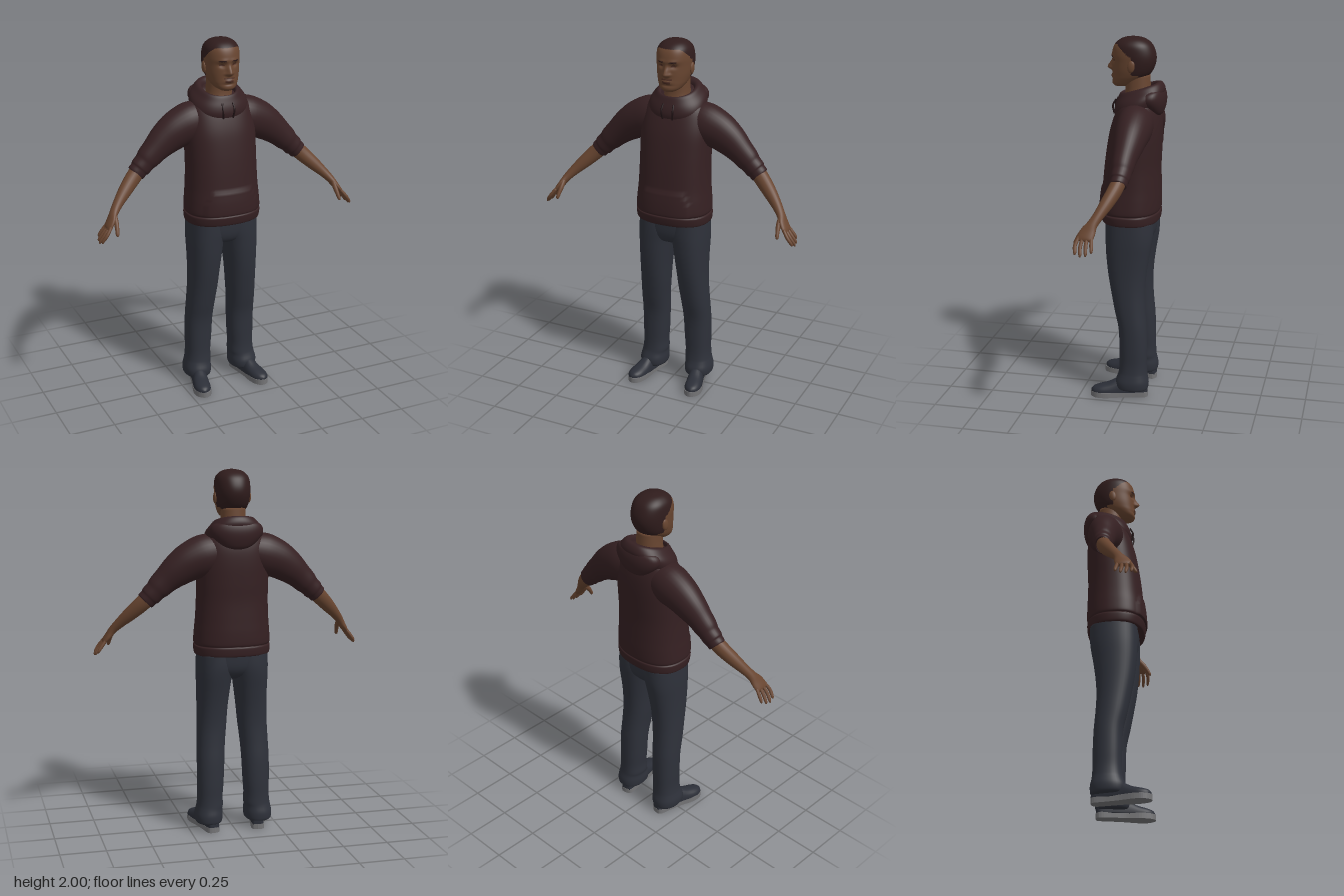
import * as THREE from 'three';

const mat = (name, color, side = THREE.FrontSide) => {
  const m = new THREE.MeshStandardMaterial({ color, side });
  m.name = name;
  return m;
};
const M = {
  hoodie: mat('hoodie maroon', 0x352022, THREE.DoubleSide),
  cord: mat('cord dark', 0x1f1214),
  hair: mat('hair', 0x2f1c1c),
  skin: mat('skin', 0x684530),
  lips: mat('lips', 0x4b2c22),
  pants: mat('trousers', 0x2e313a),
  shoe: mat('shoe', 0x2b2e37),
  sole: mat('sole', 0x747476),
};

// Smoothly resample rows of numbers
function resample(rows, k) {
  const out = [];
  for (let i = 0; i < rows.length - 1; i++) {
    for (let s = 0; s < k; s++) {
      const t = s / k, a = rows[Math.max(i - 1, 0)], b = rows[i], c = rows[i + 1], d = rows[Math.min(i + 2, rows.length - 1)];
      out.push(b.map((_, j) => b[j] + 0.5 * t * (c[j] - a[j]
        + t * (2 * a[j] - 5 * b[j] + 4 * c[j] - d[j] + t * (3 * (b[j] - c[j]) + d[j] - a[j])))));
    }
  }
  out.push(rows[rows.length - 1]);
  return out;
}

// Skin closed rings of points with capped ends
function skinRings(rings, warp) {
  const n = rings[0].length, pos = [], idx = [];
  if (warp) rings.forEach(r => r.forEach(warp));
  rings.forEach(r => r.forEach(p => pos.push(p.x, p.y, p.z)));
  for (let i = 0; i < rings.length - 1; i++) {
    for (let j = 0; j < n; j++) {
      const a = i * n + j, b = i * n + (j + 1) % n;
      idx.push(a, b, b + n, a, b + n, a + n);
    }
  }
  [0, rings.length - 1].forEach((r, end) => {
    const c = rings[r].reduce((s, p) => s.add(p), new THREE.Vector3()).divideScalar(n);
    const k = pos.push(c.x, c.y, c.z) / 3 - 1;
    for (let j = 0; j < n; j++) {
      const a = r * n + j, b = r * n + (j + 1) % n;
      idx.push(k, end ? a : b, end ? b : a);
    }
  });
  const g = new THREE.BufferGeometry();
  g.setAttribute('position', new THREE.Float32BufferAttribute(pos, 3));
  g.setIndex(idx);
  g.computeVertexNormals();
  return g;
}

const power = (v, p) => Math.sign(v) * Math.abs(v) ** (2 / p);
const ring = (n, p, place) => Array.from({ length: n }, (_, j) => {
  const a = j / n * Math.PI * 2;
  return place(power(Math.cos(a), p), power(Math.sin(a), p));
});

// Upright body: rows of [y, front z, back z, x min, x max]
function stack(rows, { n = 40, k = 4, p = 2.2, warp } = {}) {
  return skinRings(resample(rows, k).map(([y, f, b, x0, x1]) => ring(n, p, (c, s) =>
    new THREE.Vector3((x0 + x1) / 2 + c * (x1 - x0) / 2, y, (f + b) / 2 - s * (f - b) / 2))), warp);
}
const centred = rows => rows.map(([y, f, b, r]) => [y, f, b, -r, r]);

// Limb along a path: rows of [x, y, z, radius across, radius along ref]
function limb(rows, { n = 24, k = 4, p = 2, ref = new THREE.Vector3(0, 0, 1), warp } = {}) {
  const rs = resample(rows, k), at = i => new THREE.Vector3(...rs[Math.min(Math.max(i, 0), rs.length - 1)].slice(0, 3));
  return skinRings(rs.map((r, i) => {
    const t = at(i + 1).sub(at(i - 1)).normalize();
    const u = ref.clone().cross(t).normalize(), v = t.clone().cross(u);
    return ring(n, p, (c, s) => at(i).addScaledVector(u, c * r[3]).addScaledVector(v, s * r[4]));
  }), warp);
}

function mirrored(geo) {
  const g = geo.clone().applyMatrix4(new THREE.Matrix4().makeScale(-1, 1, 1));
  const old = g.index ? Array.from(g.index.array) : Array.from({ length: g.attributes.position.count }, (_, i) => i);
  for (let i = 0; i < old.length; i += 3) [old[i], old[i + 1]] = [old[i + 1], old[i]];
  g.setIndex(old);
  return g;
}

// Sort faces into material groups by a rule on the face centre
function paint(geo, count, rule) {
  const p = geo.attributes.position, src = geo.index.array, bins = Array.from({ length: count }, () => []);
  for (let i = 0; i < src.length; i += 3) {
    const t = [src[i], src[i + 1], src[i + 2]], mean = f => t.reduce((s, v) => s + p[f](v), 0) / 3;
    bins[rule(mean('getX'), mean('getY'), mean('getZ'))].push(...t);
  }
  geo.setIndex(bins.flat());
  let start = 0;
  bins.forEach((b, i) => { geo.addGroup(start, b.length, i); start += b.length; });
  return geo;
}

const bump = (d, w) => Math.exp(-((d / w) ** 2));

export function createModel() {
  const model = new THREE.Group();
  model.name = 'standingMan';
  const add = (name, geo, material) => {
    const m = new THREE.Mesh(geo, material);
    m.name = name;
    model.add(m);
  };
  const pair = (name, geo, material) => {
    add(name + 'Left', geo, material);
    add(name + 'Right', mirrored(geo), material);
  };

  // Head with nose, brows, eye sockets and lips pushed out of the loft
  const head = stack(centred([
    [1.735, 0.085, 0.0, 0.03], [1.75, 0.098, -0.03, 0.055], [1.775, 0.098, -0.07, 0.073], [1.8, 0.097, -0.105, 0.083],
    [1.83, 0.096, -0.125, 0.09], [1.87, 0.095, -0.138, 0.094], [1.91, 0.098, -0.137, 0.095], [1.95, 0.088, -0.122, 0.09],
    [1.975, 0.068, -0.1, 0.075], [1.992, 0.038, -0.068, 0.05], [2.0, 0.0, -0.03, 0.012],
  ]), { n: 96, k: 8, warp: q => {
    if (q.z < 0.02) return;
    const { x, y } = q, ax = Math.abs(x);
    const nose = y < 1.833 ? bump(y - 1.833, 0.013) : bump(y - 1.833, 0.035);
    q.z += 0.03 * nose * bump(x, 0.012 + 0.006 * bump(y - 1.828, 0.01))
      - 0.011 * bump(ax - 0.036, 0.018) * bump(y - 1.874, 0.012)
      + 0.005 * bump(y - 1.898, 0.01) * bump(ax - 0.03, 0.03)
      + 0.007 * bump(y - 1.79, 0.01) * bump(x, 0.025) - 0.004 * bump(y - 1.772, 0.006) * bump(x, 0.03);
  } });
  paint(head, 3, (x, y, z) => {
    const ax = Math.abs(x);
    const line = y > 1.962 ? 1 : y > 1.9 ? -0.01 + (y - 1.9) * 1.1 : y > 1.8 ? -0.02 : y > 1.772 ? -0.055 : -1;
    if (z < line) return 1;
    if (z < 0.04) return 0;
    if (ax > 0.018 && ax < 0.054 && Math.abs(y - 1.896) < 0.004) return 1;
    if (((ax - 0.036) / 0.013) ** 2 + ((y - 1.874) / 0.005) ** 2 < 1) return 2;
    if (ax < 0.024 && Math.abs(y - 1.788) < 0.007) return 2;
    if (ax < 0.03 && Math.abs(y - 1.803) < 0.004) return 2;
    return 0;
  });
  add('head', head, [M.skin, M.hair, M.lips]);
  pair('ear', new THREE.SphereGeometry(1, 16, 12).scale(0.01, 0.032, 0.02).rotateX(-0.15).translate(0.094, 1.85, -0.022), M.skin);
  add('neck', stack(centred([[1.6, 0.04, -0.12, 0.085], [1.66, 0.035, -0.115, 0.076], [1.72, 0.026, -0.11, 0.068], [1.8, 0.03, -0.105, 0.066]])), M.skin);

  // Hoodie body with hem band and raised front pocket
  add('hoodieBody', stack(centred([
    [1.0, 0.135, -0.15, 0.195], [1.005, 0.148, -0.163, 0.207], [1.045, 0.156, -0.167, 0.211], [1.055, 0.151, -0.162, 0.204],
    [1.07, 0.157, -0.167, 0.21], [1.13, 0.154, -0.168, 0.206], [1.2, 0.145, -0.166, 0.2], [1.3, 0.135, -0.164, 0.196],
    [1.4, 0.122, -0.168, 0.196], [1.5, 0.104, -0.17, 0.196], [1.58, 0.08, -0.165, 0.185], [1.64, 0.055, -0.15, 0.165],
    [1.68, 0.035, -0.13, 0.12], [1.7, 0.0, -0.1, 0.08],
  ]), { n: 72, k: 6, p: 2.4, warp: q => {
    const edge = q.y < 1.1 ? 0.155 : 0.155 - (q.y - 1.1) * 0.4;
    if (q.z > 0 && q.y > 1.06 && q.y < 1.2 && Math.abs(q.x) < edge) q.z += 0.007;
  } }), M.hoodie);

  // Sleeves pushed up to the elbow
  pair('sleeve', limb([
    [0.08, 1.565, -0.055, 0.1, 0.09], [0.16, 1.545, -0.055, 0.115, 0.098], [0.24, 1.515, -0.055, 0.105, 0.09],
    [0.31, 1.47, -0.053, 0.09, 0.077], [0.37, 1.42, -0.048, 0.073, 0.064], [0.41, 1.382, -0.046, 0.066, 0.058],
    [0.43, 1.362, -0.045, 0.058, 0.053], [0.455, 1.337, -0.043, 0.057, 0.05], [0.465, 1.327, -0.042, 0.051, 0.046],
    [0.483, 1.309, -0.04, 0.05, 0.043], [0.486, 1.306, -0.04, 0.038, 0.036],
  ], { n: 32 }), M.hoodie);

  // Hood collar, sloping down toward the front
  const slope = q => { q.y -= 0.3 * (q.z + 0.06); };
  add('hoodCollar', stack(centred([
    [1.6, 0.07, -0.15, 0.15], [1.645, 0.082, -0.175, 0.16], [1.68, 0.078, -0.187, 0.152], [1.71, 0.066, -0.18, 0.128],
    [1.73, 0.056, -0.165, 0.11], [1.732, 0.048, -0.145, 0.094], [1.715, 0.042, -0.13, 0.084], [1.66, 0.036, -0.12, 0.078],
  ]), { n: 56, warp: slope }), M.hoodie);
  add('hoodDrape', stack(centred([
    [1.585, -0.14, -0.165, 0.03], [1.6, -0.11, -0.18, 0.075], [1.635, -0.06, -0.191, 0.12], [1.67, -0.04, -0.194, 0.143],
    [1.7, -0.05, -0.19, 0.14], [1.722, -0.08, -0.18, 0.115], [1.73, -0.12, -0.16, 0.06],
  ]), { n: 40 }), M.hoodie);
  pair('drawstring', new THREE.TubeGeometry(new THREE.CatmullRomCurve3([
    new THREE.Vector3(0.03, 1.665, 0.073), new THREE.Vector3(0.033, 1.63, 0.09), new THREE.Vector3(0.028, 1.585, 0.083),
  ]), 12, 0.005, 8), M.cord);

  // Forearm, palm, fingers and thumb
  pair('forearm', limb([
    [0.45, 1.343, -0.045, 0.042, 0.038], [0.5, 1.293, -0.03, 0.043, 0.038], [0.56, 1.235, 0.0, 0.037, 0.034],
    [0.61, 1.185, 0.03, 0.028, 0.028], [0.645, 1.145, 0.055, 0.022, 0.028], [0.667, 1.112, 0.072, 0.018, 0.04],
    [0.688, 1.082, 0.084, 0.014, 0.042], [0.696, 1.07, 0.086, 0.008, 0.036],
  ]), M.skin);
  for (let i = 0; i < 4; i++) {
    const z = 0.116 - i * 0.0215, reach = [0.9, 1, 0.95, 0.78][i], spread = (1.5 - i) * 0.006;
    pair('finger' + (i + 1), limb([
      [0.684, 1.088, z, 0.009, 0.009], [0.684 + 0.032 * reach, 1.088 - 0.042 * reach, z + spread + 0.004, 0.0095, 0.0095],
      [0.684 + 0.055 * reach, 1.088 - 0.075 * reach, z + spread, 0.008, 0.008], [0.684 + 0.06 * reach, 1.088 - 0.088 * reach, z + spread, 0.003, 0.003],
    ], { n: 10 }), M.skin);
  }
  pair('thumb', limb([
    [0.65, 1.14, 0.075, 0.014, 0.012], [0.652, 1.105, 0.106, 0.014, 0.013], [0.656, 1.075, 0.128, 0.011, 0.011],
    [0.66, 1.05, 0.142, 0.009, 0.009], [0.662, 1.042, 0.146, 0.003, 0.003],
  ], { n: 12, ref: new THREE.Vector3(1, 0, 0) }), M.skin);

  // Trousers: seat and two legs with bunched cuffs
  add('trouserSeat', stack(centred([
    [0.86, 0.04, -0.06, 0.05], [0.885, 0.09, -0.11, 0.12], [0.93, 0.112, -0.138, 0.185], [1.0, 0.118, -0.145, 0.196], [1.04, 0.118, -0.145, 0.19],
  ]), { p: 2.4 }), M.pants);
  pair('trouserLeg', stack([
    [0.045, 0.03, -0.12, 0.08, 0.205], [0.055, 0.05, -0.13, 0.068, 0.216], [0.09, 0.054, -0.132, 0.064, 0.219], [0.125, 0.042, -0.125, 0.066, 0.212],
    [0.15, 0.036, -0.122, 0.062, 0.207], [0.2, 0.032, -0.12, 0.064, 0.203], [0.28, 0.033, -0.12, 0.058, 0.204],
    [0.4, 0.038, -0.116, 0.052, 0.204], [0.5, 0.06, -0.108, 0.046, 0.201], [0.6, 0.08, -0.104, 0.036, 0.197],
    [0.7, 0.098, -0.11, 0.028, 0.195], [0.8, 0.11, -0.124, 0.016, 0.196], [0.88, 0.115, -0.138, 0.004, 0.198],
    [0.94, 0.117, -0.144, -0.01, 0.198], [1.01, 0.116, -0.143, -0.01, 0.196],
  ], { n: 36, p: 2.3 }), M.pants);

  // Shoes turned slightly outward
  const placeFoot = g => g.rotateY(0.2).translate(0.155, 0, 0.03);
  const outline = new THREE.Shape(new THREE.SplineCurve([
    [0, -0.16], [0.034, -0.145], [0.038, -0.07], [0.042, 0.0], [0.052, 0.08], [0.04, 0.135], [0, 0.162],
    [-0.036, 0.14], [-0.047, 0.08], [-0.038, 0.0], [-0.037, -0.07], [-0.033, -0.145], [0, -0.16],
  ].map(p => new THREE.Vector2(...p))).getPoints(60));
  pair('shoeSole', placeFoot(new THREE.ExtrudeGeometry(outline, { depth: 0.03, bevelEnabled: false })
    .rotateX(Math.PI / 2).translate(0, 0.03, 0)), M.sole);
  pair('shoeUpper', placeFoot(limb([
    [0, 0.03, -0.157, 0.012, 0.02], [0, 0.03, -0.145, 0.032, 0.06], [0, 0.03, -0.07, 0.039, 0.085], [0, 0.03, 0.0, 0.042, 0.078],
    [0.002, 0.03, 0.06, 0.047, 0.05], [0.002, 0.03, 0.11, 0.045, 0.036], [0.001, 0.03, 0.143, 0.03, 0.025], [0, 0.03, 0.158, 0.008, 0.01],
  ], { n: 28, p: 2.2, ref: new THREE.Vector3(0, 1, 0), warp: q => { q.y = Math.max(q.y, 0.026); } })), M.shoe);

  return model;
}
